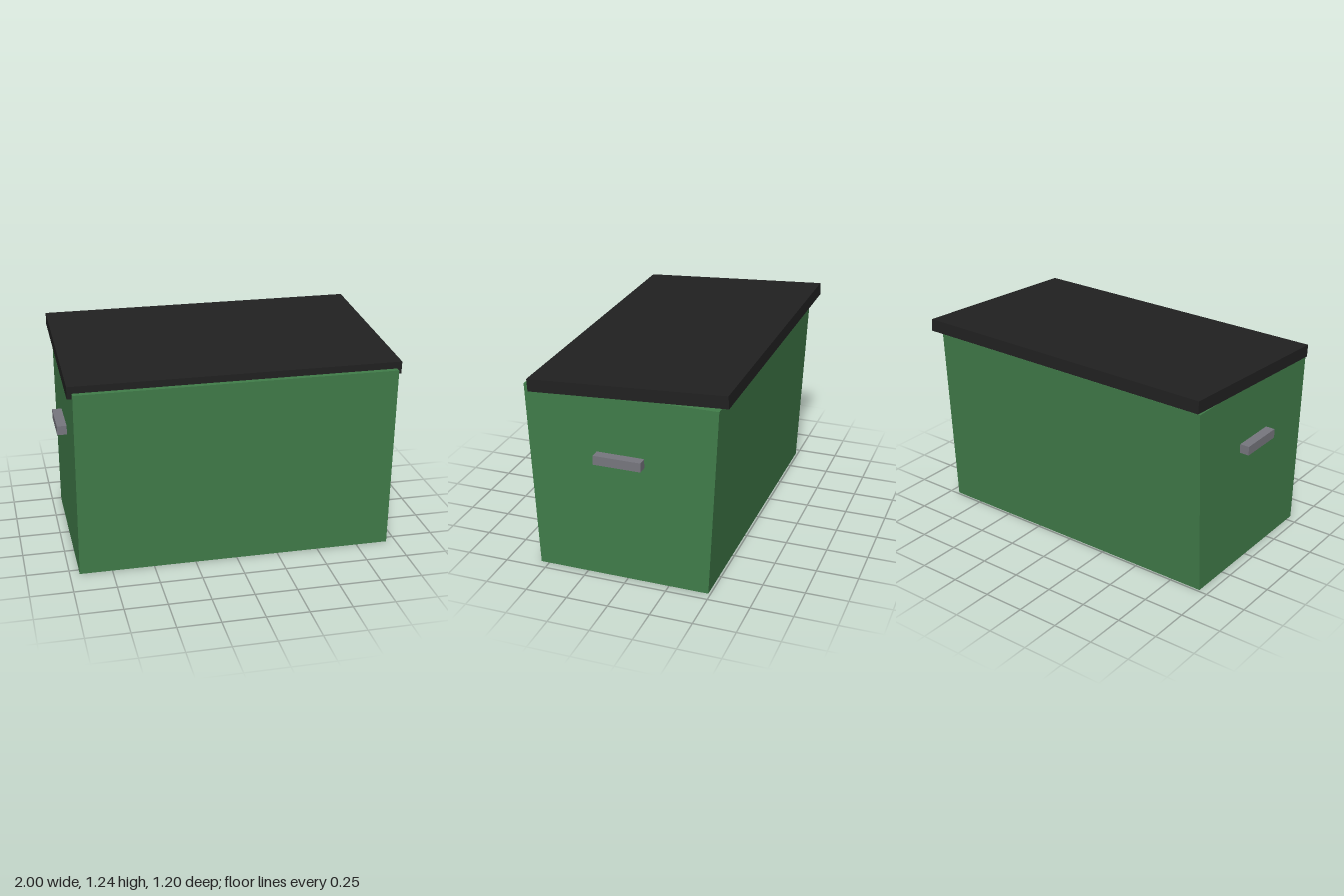
import * as THREE from 'three';

export function createModel() {
  const model = new THREE.Group();
  const material = (name, color) => {
    const m = new THREE.MeshStandardMaterial({ color });
    m.name = name;
    return m;
  };
  const green = material('green', 0x417d4a);
  const black = material('black', 0x212121);
  const grey = material('grey', 0x77777f);

  const add = (name, geometry, mat, x, y, z) => {
    const mesh = new THREE.Mesh(geometry, mat);
    mesh.name = name;
    mesh.position.set(x, y, z);
    model.add(mesh);
    return mesh;
  };

  // Bin body: front and back walls lean outward, the ends stay vertical
  const height = 1.133, bottomDepth = 1.037, topDepth = 1.14;
  const body = new THREE.BoxGeometry(1.885, height, topDepth);
  const pos = body.attributes.position;
  for (let i = 0; i < pos.count; i++) {
    if (pos.getY(i) < 0) pos.setZ(i, pos.getZ(i) * bottomDepth / topDepth);
  }
  body.computeVertexNormals();
  add('body', body, green, 0, height / 2, 0.032);

  // Lid: flat slab tilted down towards the front
  const lid = add('lid', new THREE.BoxGeometry(1.94, 0.074, 1.168), black, 0, 1.172, -0.015);
  lid.rotation.x = 0.06;

  // Grip bar on each end
  for (const [name, side] of [['leftHandle', 1], ['rightHandle', -1]]) {
    add(name, new THREE.BoxGeometry(0.06, 0.055, 0.283), grey, side * 0.97, 0.757, 0.032);
  }

  return model;
}
